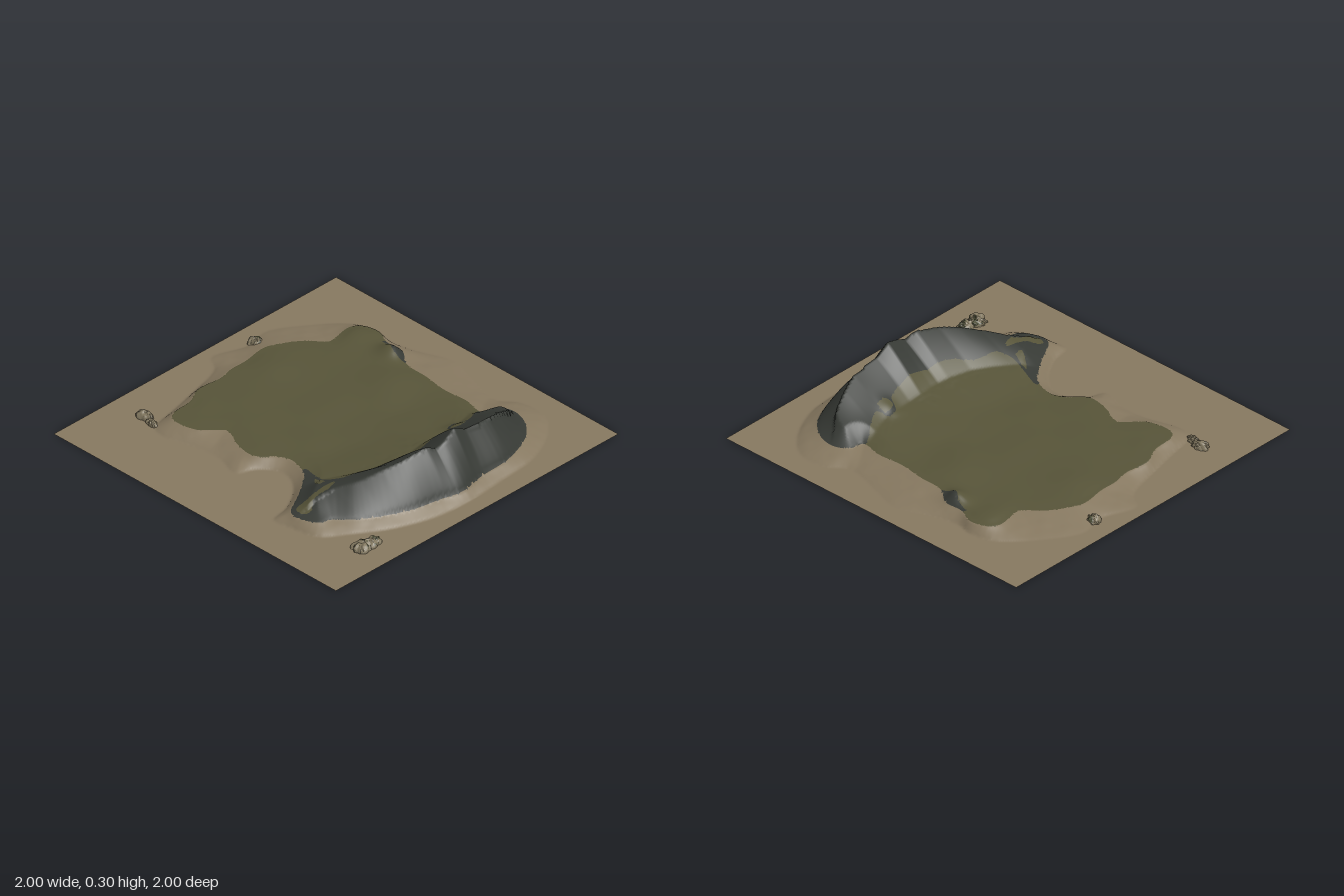
import * as THREE from 'three';

const mat = (name, color) => new THREE.MeshStandardMaterial({ name, color, side: THREE.DoubleSide });
const smooth = (a, b, v) => THREE.MathUtils.smoothstep(v, a, b);

// Closed smooth outline in the x/z plane, from a flat list of coordinates
function outline(flat, samples) {
  const pts = [];
  for (let i = 0; i < flat.length; i += 2) pts.push(new THREE.Vector3(flat[i], 0, flat[i + 1]));
  return new THREE.CatmullRomCurve3(pts, true, 'centripetal').getPoints(samples).slice(0, -1);
}

// Signed distance to an outline (positive inside) and the nearest point on it
function measure(poly, x, z) {
  let best = Infinity, px = 0, pz = 0, inside = false;
  for (let i = 0, j = poly.length - 1; i < poly.length; j = i++) {
    const a = poly[j], b = poly[i], dx = b.x - a.x, dz = b.z - a.z;
    const t = THREE.MathUtils.clamp(((x - a.x) * dx + (z - a.z) * dz) / (dx * dx + dz * dz), 0, 1);
    const qx = a.x + dx * t, qz = a.z + dz * t, d = (x - qx) ** 2 + (z - qz) ** 2;
    if (d < best) { best = d; px = qx; pz = qz; }
    if ((a.z > z) !== (b.z > z) && x < a.x + (z - a.z) * dx / dz) inside = !inside;
  }
  return { d: Math.sqrt(best) * (inside ? 1 : -1), x: px, z: pz };
}

// Seeded value noise
function hash(i, j) {
  const s = Math.sin(i * 127.1 + j * 311.7) * 43758.5453;
  return s - Math.floor(s);
}
function noise(x, y) {
  const i = Math.floor(x), j = Math.floor(y);
  const u = smooth(0, 1, x - i), v = smooth(0, 1, y - j);
  const mix = THREE.MathUtils.lerp;
  return mix(mix(hash(i, j), hash(i + 1, j), u), mix(hash(i, j + 1), hash(i + 1, j + 1), u), v);
}

// Edge of the plateau
const coast = outline([
  -.59, -.68, -.55, -.74, -.45, -.76, -.36, -.72, -.25, -.72, -.15, -.65, 0, -.64, .15, -.62, .3, -.63,
  .42, -.61, .44, -.69, .52, -.73, .62, -.71, .72, -.63, .78, -.52, .82, -.38, .83, -.2, .86, -.04,
  .83, .1, .8, .25, .73, .41, .66, .52, .58, .6, .55, .67, .44, .72, .38, .7, .32, .6, .25, .49,
  .18, .41, .12, .38, .04, .37, -.02, .4, -.08, .46, -.13, .48, -.24, .46, -.36, .41, -.42, .46,
  -.47, .51, -.6, .535, -.66, .5, -.68, .35, -.73, .25, -.72, .1, -.74, 0, -.74, -.1, -.76, -.25,
  -.72, -.35, -.65, -.45, -.57, -.52], 200);
// Foot of the beach
const shore = outline([
  -.5, -.8, -.4, -.78, -.25, -.81, -.05, -.88, .1, -.84, .35, -.78, .45, -.85, .6, -.86, .72, -.78,
  .85, -.55, .88, -.3, .9, 0, .88, .2, .8, .42, .7, .58, .6, .72, .45, .76, .33, .77, .3, .65,
  .2, .5, .1, .44, .02, .45, -.06, .52, -.1, .61, -.25, .57, -.4, .58, -.6, .63, -.68, .6, -.72, .45,
  -.78, .2, -.84, .02, -.93, -.05, -.87, -.25, -.9, -.4, -.8, -.58, -.64, -.76], 140);
// Bare rock: the long ridge and a knob on the back shore
const rocks = [
  outline([.41, -.6, .47, -.5, .5, -.43, .45, -.39, .46, -.33, .52, -.3, .55, -.15, .55, 0, .52, .15, .46, .26,
    .43, .38, .35, .42, .25, .4, .16, .38, .2, .5, .35, .8, .6, .75, .8, .5, .95, 0, .9, -.5, .7, -.8, .4, -.8], 120),
  outline([-.38, -.71, -.3, -.75, -.2, -.74, -.14, -.66, -.2, -.65, -.27, -.66, -.31, -.69], 40),
];
// Grass growing on the rock
const patches = [
  outline([.43, .44, .46, .5, .44, .58, .47, .66, .43, .69, .39, .67, .41, .57], 40),
  outline([.28, .43, .37, .45, .37, .49, .31, .46], 24),
  outline([.47, -.39, .52, -.4, .53, -.34, .49, -.32], 24),
];

// Ridge line: z, x of the crest, height of the crest
const crest = [
  [-.78, .52, .05], [-.7, .55, .09], [-.6, .62, .15], [-.5, .66, .2], [-.4, .69, .235], [-.22, .7, .255],
  [-.14, .7, .3], [-.05, .71, .265], [0, .71, .245], [.06, .7, .275], [.2, .67, .245], [.3, .62, .215],
  [.4, .56, .175], [.5, .49, .14], [.6, .45, .1], [.7, .44, .06], [.8, .43, .045]];
function crestAt(z) {
  let i = 1;
  while (i < crest.length - 1 && crest[i][0] < z) i++;
  const a = crest[i - 1], b = crest[i];
  const t = THREE.MathUtils.clamp((z - a[0]) / (b[0] - a[0]), 0, 1);
  return [a[1] + (b[1] - a[1]) * t, a[2] + (b[2] - a[2]) * t];
}

// Low hills: x, z, height, radius
const hills = [
  [-.6, -.15, .014, .12], [-.5, -.66, .014, .1], [-.27, -.68, .045, .075],
  [-.08, -.47, .016, .14], [.25, -.25, .008, .12], [.48, -.36, .015, .05]];

function heightAt(x, z, dCoast) {
  if (dCoast <= 0) {
    const dShore = measure(shore, x, z).d;
    if (dShore <= 0) return 0;
    const t = dShore / (dShore - dCoast);
    return .043 * Math.pow(t, .8) * (1 - .25 * (1 - t) * noise(x * 18, z * 18));
  }
  let y = .043 + .006 * noise(x * 6, z * 6) * smooth(0, .1, dCoast);
  for (const [hx, hz, h, r] of hills)
    y += h * Math.exp(-((x - hx) ** 2 + (z - hz) ** 2) / (r * r)) * smooth(-.02, .06, dCoast);
  // Ridge: steep on the outer side, easing into the meadow on the inner side
  const [cx, top] = crestAt(z);
  const west = Math.max(0, cx - x);
  const inner = .68 * Math.max(0, 1 - west / .23) + .32 * (1 - smooth(0, .58, west));
  const outer = Math.pow(Math.min(1, dCoast / (x > cx ? .14 : .09)), .8);
  const ridge = (top - .043) * inner * outer;
  // Gullies running down from the crest
  const slant = z * 19 + Math.abs(x - cx) * 5;
  const gully = Math.abs(noise(slant + 3 * noise(x * 9, z * 9), x * 6) * 2 - 1)
    + .5 * Math.abs(noise(slant * 2.3, x * 14) * 2 - 1);
  const steep = smooth(.02, .1, ridge) * smooth(0, .04, Math.abs(x - cx)) * smooth(0, .05, dCoast);
  return y + ridge + (.012 - .03 * (1 - Math.min(1, gully))) * steep * smooth(.26, .16, west);
}

// One height field, split into sand, grass and rock along the outlines
function buildTerrain(mats) {
  const N = 216, step = 2 / N, pos = [], index = { sand: [], grass: [], rock: [] };
  for (let j = 0; j <= N; j++) for (let i = 0; i <= N; i++) {
    let x = -1 + i * step, z = -1 + j * step, c = measure(coast, x, z);
    if (Math.abs(c.d) < step * .45) { x = c.x; z = c.z; c.d = 0; }
    else if (c.d > 0) for (const p of [...rocks, ...patches]) {
      const m = measure(p, x, z);
      if (Math.abs(m.d) < step * .45) { x = m.x; z = m.z; break; }
    }
    pos.push(x, heightAt(x, z, c.d), z);
  }
  const within = (list, x, z) => list.some(p => measure(p, x, z).d > 0);
  const addFace = (...f) => {
    const x = f.reduce((s, k) => s + pos[k * 3], 0) / 3, z = f.reduce((s, k) => s + pos[k * 3 + 2], 0) / 3;
    const kind = measure(coast, x, z).d <= 0 ? 'sand'
      : within(rocks, x, z) && !within(patches, x, z) ? 'rock' : 'grass';
    index[kind].push(...f);
  };
  for (let j = 0; j < N; j++) for (let i = 0; i < N; i++) {
    const a = j * (N + 1) + i, b = a + 1, c = a + N + 1, d = c + 1;
    if ((i + j) % 2) { addFace(a, c, b); addFace(b, c, d); }
    else { addFace(a, c, d); addFace(a, d, b); }
  }
  // Shared normals keep the shading continuous across colours
  const whole = new THREE.BufferGeometry();
  whole.setAttribute('position', new THREE.Float32BufferAttribute(pos, 3));
  whole.setIndex([...index.sand, ...index.grass, ...index.rock]);
  whole.computeVertexNormals();
  const group = new THREE.Group();
  group.name = 'terrain';
  for (const kind of Object.keys(index)) {
    const g = new THREE.BufferGeometry();
    g.setAttribute('position', whole.attributes.position);
    g.setAttribute('normal', whole.attributes.normal);
    g.setIndex(index[kind]);
    const mesh = new THREE.Mesh(g, mats[kind]);
    mesh.name = kind;
    group.add(mesh);
  }
  return group;
}

// Weathered beach boulder: half-buried lumpy dome with mossy faces on top
function boulder(x, z, rx, h, rz, turn, mossy, mats) {
  const g = new THREE.IcosahedronGeometry(1, 7), p = g.attributes.position;
  for (let i = 0; i < p.count; i++) {
    const a = p.getX(i), b = p.getY(i), c = p.getZ(i);
    const k = .72 + .4 * noise(a * 3 + x * 40 + 9, c * 3 + b * 2 + z * 40);
    p.setXYZ(i, a * k * rx, Math.max(0, b) * k * h, c * k * rz);
  }
  g.computeVertexNormals();
  for (let f = 0; f < p.count; f += 3) {
    const green = p.getY(f) > h * .3 && noise(p.getX(f) * 45 + 5, p.getZ(f) * 45) < mossy;
    g.addGroup(f, 3, green ? 1 : 0);
  }
  const mesh = new THREE.Mesh(g, [mats.stone, mats.moss]);
  mesh.position.set(x, .001, z);
  mesh.rotation.y = turn;
  mesh.name = 'boulder';
  return mesh;
}

export function createModel() {
  const mats = {
    sand: mat('sand', 0x85775f), grass: mat('grass', 0x565338), rock: mat('rock', 0x363934),
    stone: mat('stone', 0x81775f), moss: mat('moss', 0x4f5039),
  };
  const model = new THREE.Group();
  model.name = 'island';
  model.add(
    buildTerrain(mats),
    boulder(-.865, -.29, .038, .042, .036, 0, .5, mats),
    boulder(-.78, .575, .055, .042, .034, .1, .2, mats),
    boulder(-.72, .59, .045, .03, .025, -.2, .2, mats),
    boulder(.82, .64, .055, .045, .055, .3, .5, mats),
    boulder(.83, .58, .042, .04, .06, -.1, .5, mats));
  return model;
}
